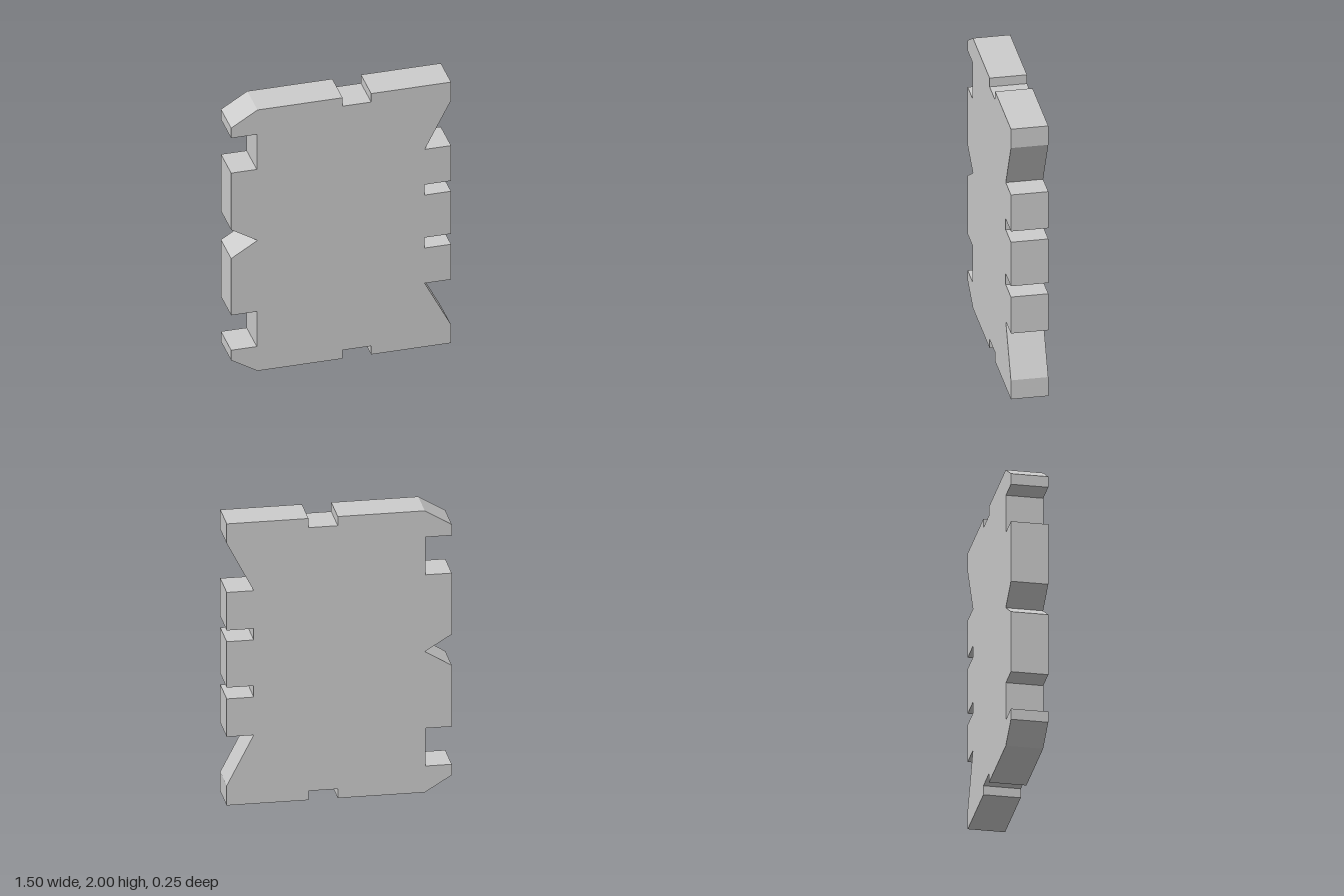
import * as THREE from 'three';

const THICKNESS = 0.25;
const MID = 1; // height of the mirror line

// Upper half of the outline, clockwise from the left V notch to the right edge,
// with heights measured from the mirror line
const upperHalf = [
  [-0.57, 0], [-0.75, 0.11],                                // V notch
  [-0.75, 0.545], [-0.575, 0.545], [-0.575, 0.813], [-0.75, 0.813], // square side notch
  [-0.75, 0.89], [-0.57, 1],                                // bevelled corner
  [0.01, 1], [0.01, 0.935], [0.205, 0.935], [0.205, 1],     // shallow end notch
  [0.75, 1], [0.75, 0.86], [0.57, 0.513], [0.75, 0.513],    // slanted notch
  [0.75, 0.243], [0.57, 0.243], [0.57, 0.163], [0.75, 0.163], // narrow slot
];

export function createModel() {
  const group = new THREE.Group();
  group.name = 'notchedPlate';

  // Mirror the upper half downwards; the V tip lies on the mirror line
  const lowerHalf = upperHalf.slice(1).reverse().map(([x, h]) => [x, -h]);
  const outline = [...upperHalf, ...lowerHalf]
    .map(([x, h]) => new THREE.Vector2(x, MID + h));

  const geometry = new THREE.ExtrudeGeometry(new THREE.Shape(outline), {
    depth: THICKNESS,
    bevelEnabled: false,
  });
  geometry.translate(0, 0, -THICKNESS / 2);

  const material = new THREE.MeshStandardMaterial({ color: 0xcccccc, flatShading: true });
  const plate = new THREE.Mesh(geometry, material);
  plate.name = 'plate';
  group.add(plate);
  return group;
}
